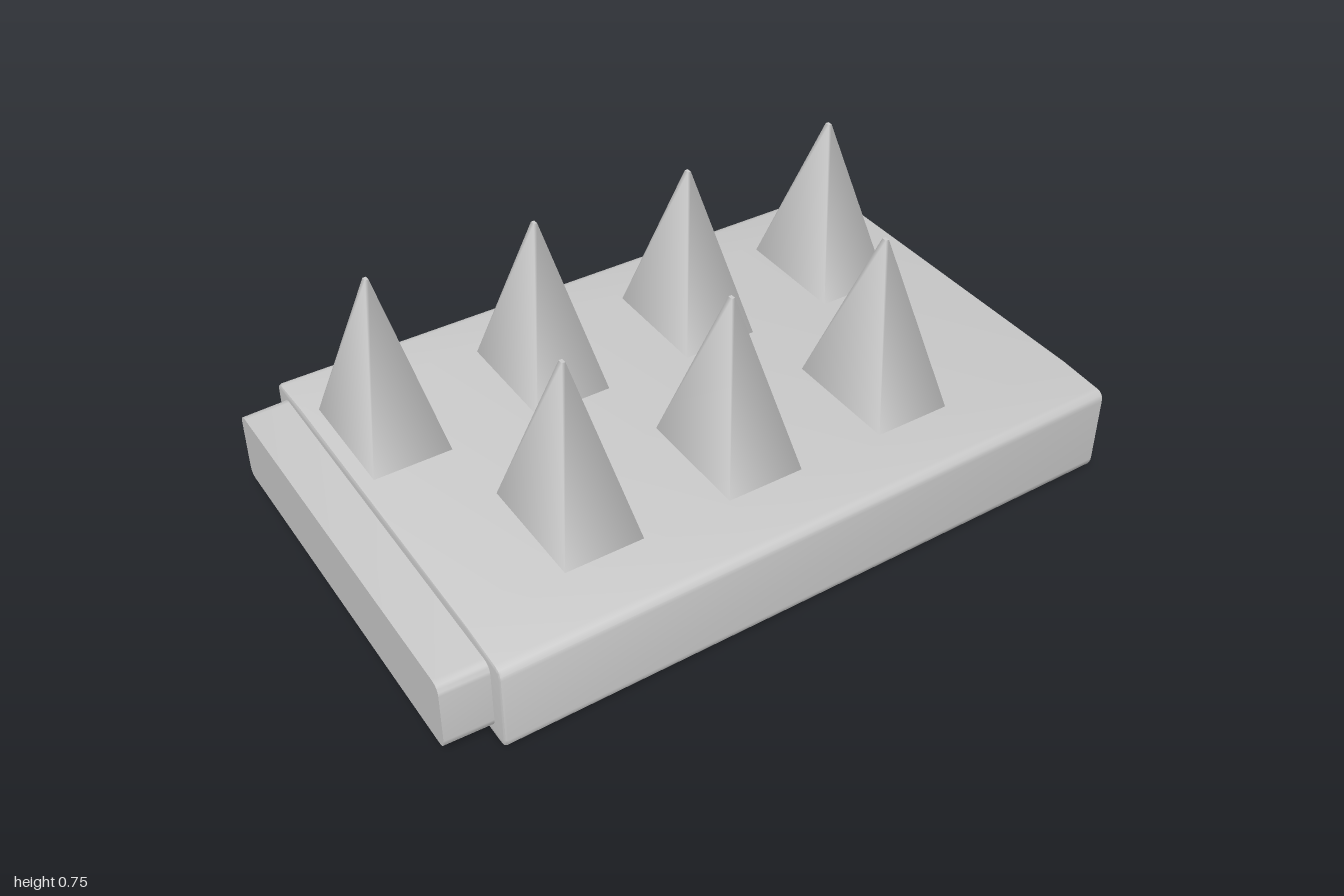
import * as THREE from 'three';
import { toCreasedNormals } from 'three/addons/utils/BufferGeometryUtils.js';

const material = new THREE.MeshStandardMaterial({ color: 0xcccccc });

// Block with rounded long edges and a slightly crowned top, running from x0 to x1
function block(name, x0, x1, y0, y1, halfZ, r, crown, bevel, taper) {
  const s = new THREE.Shape();
  s.moveTo(-halfZ + r, y0);
  s.lineTo(halfZ - r, y0);
  s.quadraticCurveTo(halfZ, y0, halfZ, y0 + r);
  s.lineTo(halfZ, y1 - r);
  s.quadraticCurveTo(halfZ, y1, halfZ - r, y1);
  if (crown) {
    s.lineTo(halfZ * 0.75, y1 + crown);
    s.lineTo(-halfZ * 0.75, y1 + crown);
  }
  s.lineTo(-halfZ + r, y1);
  s.quadraticCurveTo(-halfZ, y1, -halfZ, y1 - r);
  s.lineTo(-halfZ, y0 + r);
  s.quadraticCurveTo(-halfZ, y0, -halfZ + r, y0);

  const geo = new THREE.ExtrudeGeometry(s, {
    depth: x1 - x0 - 2 * bevel, curveSegments: 5, bevelEnabled: bevel > 0,
    bevelThickness: bevel, bevelSize: bevel, bevelOffset: -bevel, bevelSegments: 2,
  });
  geo.rotateY(Math.PI / 2);
  geo.translate(x0 + bevel, 0, 0);

  // Narrow the block gently towards +x
  const p = geo.attributes.position;
  for (let i = 0; i < p.count; i++) {
    const t = (p.getX(i) - x0) / (x1 - x0);
    p.setZ(i, p.getZ(i) * (1 - taper * t));
  }
  const mesh = new THREE.Mesh(toCreasedNormals(geo, 0.7), material);
  mesh.name = name;
  return mesh;
}

// Four-sided spike with a rectangular base and smooth shading
function spikeGeometry(width, depth, height) {
  const geo = new THREE.CylinderGeometry(0.03, Math.SQRT1_2, height, 4, 1);
  geo.rotateY(Math.PI / 4);
  geo.scale(width, 1, depth);
  geo.translate(0, height / 2, 0);
  return geo;
}

export function createModel() {
  const model = new THREE.Group();
  model.name = 'spikedBlock';

  model.add(block('base', -0.87, 1, 0, 0.262, 0.64, 0.03, 0.008, 0.008, 0.016));
  model.add(block('endTab', -1, -0.85, 0.03, 0.24, 0.585, 0.03, 0, 0, -0.01));

  // Two staggered rows of spikes
  const spikes = new THREE.Group();
  spikes.name = 'spikes';
  const geo = spikeGeometry(0.228, 0.35, 0.49);
  const rows = [
    { name: 'backSpike', z: -0.28, count: 4 },
    { name: 'frontSpike', z: 0.277, count: 3 },
  ];
  for (const { name, z, count } of rows) {
    for (let i = 0; i < count; i++) {
      const spike = new THREE.Mesh(geo, material);
      spike.name = name + (i + 1);
      spike.position.set((i - (count - 1) / 2) * 0.477, 0.26, z);
      spikes.add(spike);
    }
  }
  model.add(spikes);
  return model;
}
